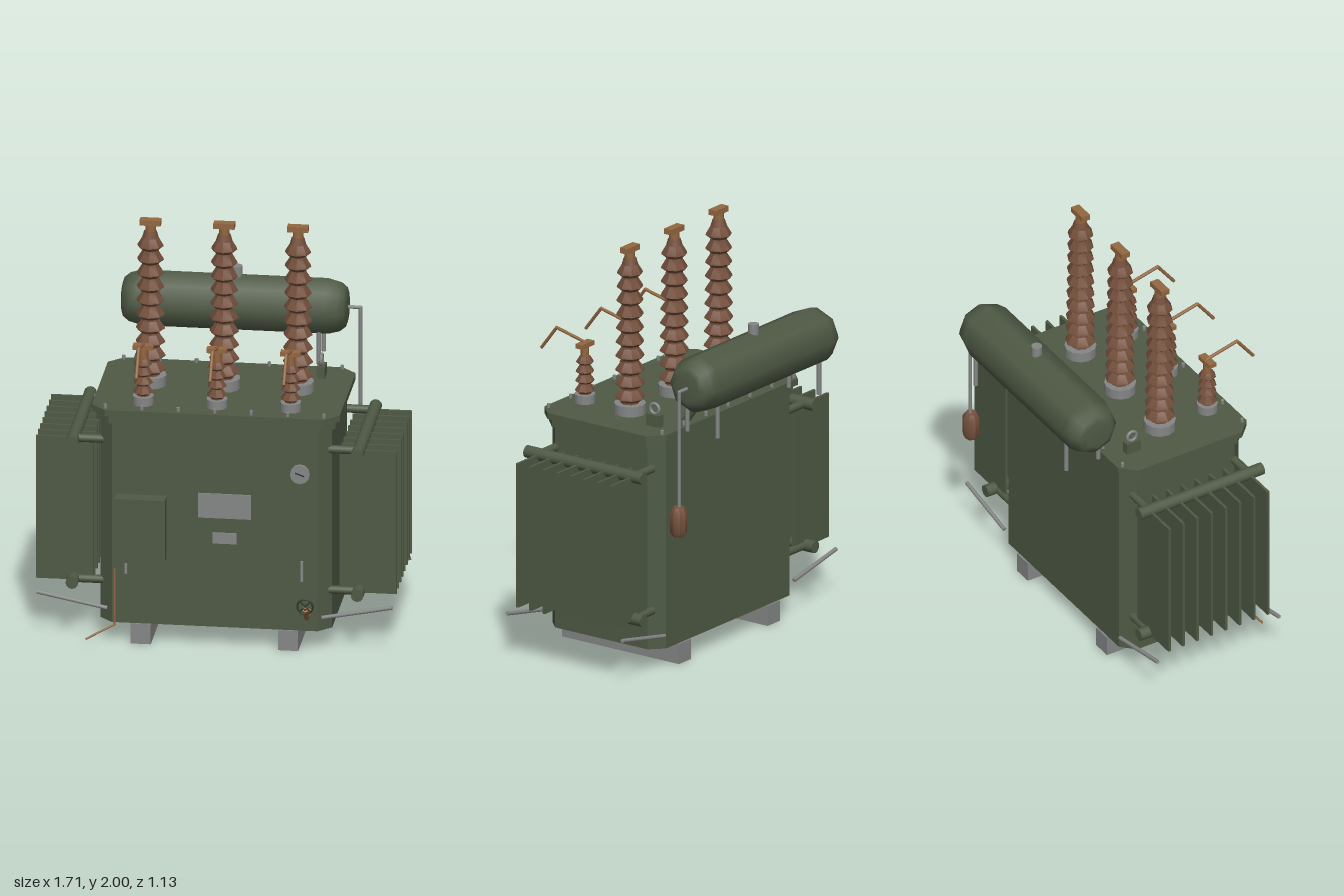
import * as THREE from 'three';
import { toCreasedNormals } from 'three/addons/utils/BufferGeometryUtils.js';

const V = (x, y, z) => new THREE.Vector3(x, y, z);

export function createModel() {
  const model = new THREE.Group();
  model.name = 'powerTransformer';
  const paint = (name, color) => {
    const m = new THREE.MeshStandardMaterial({ color });
    m.name = name;
    return m;
  };
  const green = paint('tank green', 0x4f5a45);
  const gray = paint('galvanised gray', 0x858786);
  const brown = paint('porcelain brown', 0x75503c);
  const copper = paint('copper', 0x946841);
  const dark = paint('dark iron', 0x2f362c);

  // Helpers
  const add = (name, geo, mat, x = 0, y = 0, z = 0, parent = model) => {
    const mesh = new THREE.Mesh(geo, mat);
    mesh.name = name;
    mesh.position.set(x, y, z);
    parent.add(mesh);
    return mesh;
  };
  const box = (name, mat, w, h, d, x, y, z, parent) =>
    add(name, new THREE.BoxGeometry(w, h, d), mat, x, y, z, parent);
  const rod = (name, mat, a, b, r, sides = 10, parent = model) => {
    const dir = b.clone().sub(a);
    const mid = a.clone().add(b).multiplyScalar(0.5);
    const mesh = add(name, new THREE.CylinderGeometry(r, r, dir.length(), sides), mat, mid.x, mid.y, mid.z, parent);
    mesh.quaternion.setFromUnitVectors(V(0, 1, 0), dir.normalize());
    return mesh;
  };
  const bentRod = (name, mat, points, r, sides = 8, parent = model) => {
    const path = new THREE.CurvePath();
    for (let i = 1; i < points.length; i++) {
      rod(name, mat, points[i - 1], points[i], r, sides, parent);
      if (i > 1) add(name + 'Joint', new THREE.SphereGeometry(r, sides, 6), mat, ...points[i - 1].toArray(), parent);
    }
    return path;
  };
  const lathe = (points, sides) =>
    new THREE.LatheGeometry(points.map(([r, y]) => new THREE.Vector2(r, y)), sides);

  // Prism with chamfered vertical corners
  const chamferedSlab = (name, hx, hz, c, y0, y1) => {
    const s = new THREE.Shape([
      [hx - c, -hz], [hx, c - hz], [hx, hz - c], [hx - c, hz],
      [c - hx, hz], [-hx, hz - c], [-hx, c - hz], [c - hx, -hz],
    ].map(([x, y]) => new THREE.Vector2(x, y)));
    const geo = new THREE.ExtrudeGeometry(s, { depth: y1 - y0, bevelEnabled: false });
    geo.rotateX(-Math.PI / 2);
    return add(name, geo, green, 0, y0, 0.058);
  };

  // Tank, flange and lid
  chamferedSlab('tank', 0.55, 0.333, 0.062, 0.1, 1.11);
  chamferedSlab('tankFlange', 0.567, 0.342, 0.065, 1.1, 1.142);
  chamferedSlab('lid', 0.588, 0.358, 0.07, 1.142, 1.172);
  for (let i = -3; i <= 3; i++)
    for (const z of [-0.275, 0.39])
      add('lidBolt', new THREE.CylinderGeometry(0.009, 0.009, 0.02, 6), gray, i * 0.173, 1.182, z);

  // Skids
  for (const x of [-0.35, 0.35]) box('skid', gray, 0.096, 0.1, 0.685, x, 0.05, 0.058);

  // Radiators, lifting lugs and jacking bars on both sides
  for (const s of [-1, 1]) {
    const radiator = new THREE.Group();
    radiator.name = s > 0 ? 'leftRadiator' : 'rightRadiator';
    model.add(radiator);
    for (let i = 0; i < 8; i++)
      box('fin', green, 0.272, 0.715, 0.013, s * 0.72, 0.64, -0.225 + i * 0.0786, radiator);
    for (const y of [0.29, 0.995]) {
      rod('header', green, V(s * 0.677, y, -0.285), V(s * 0.677, y, 0.4), 0.03, 12, radiator);
      for (const z of [-0.225, 0.328])
        rod('connector', green, V(s * 0.53, y, z), V(s * 0.677, y, z), 0.02, 10, radiator);
    }
    for (const z of [-0.283, 0.392])
      rod('sideBar', gray, V(s * 0.51, 0.17, z), V(s * 0.843, 0.236, z), 0.01, 8);

    box('liftingLug', green, 0.038, 0.06, 0.076, s * 0.435, 1.2, -0.17);
    const ring = add('liftingRing', new THREE.TorusGeometry(0.025, 0.008, 8, 16), gray, s * 0.435, 1.256, -0.17);
    ring.rotation.y = Math.PI / 2;
  }

  // Porcelain stack of sheds, tapering upwards
  const shedStack = (y0, y1, count, core, rBottom, rTop) => {
    const pts = [[0, y0], [core, y0]];
    const p = (y1 - y0) / count;
    for (let i = 0; i < count; i++) {
      const t = i / (count - 1);
      const r = rBottom + (rTop - rBottom) * t;
      const c = core * (1 - 0.12 * t);
      const y = y0 + i * p;
      pts.push([c, y + p * 0.12], [r, y + p * 0.38], [r * 0.97, y + p * 0.5], [c, y + p]);
    }
    pts.push([0, y1]);
    return toCreasedNormals(lathe(pts, 8), 0.5);
  };

  for (const x of [-0.35, 0, 0.35]) {
    // Tall bushing
    const tall = new THREE.Group();
    tall.name = 'tallBushing';
    tall.position.set(x, 0, 0.039);
    model.add(tall);
    add('collar', new THREE.CylinderGeometry(0.076, 0.076, 0.052, 12), gray, 0, 1.196, 0, tall);
    add('sheds', shedStack(1.222, 1.91, 10, 0.045, 0.073, 0.062), brown, 0, 0, 0, tall);
    add('neck', new THREE.CylinderGeometry(0.03, 0.04, 0.035, 8), brown, 0, 1.925, 0, tall);
    add('stud', new THREE.CylinderGeometry(0.025, 0.025, 0.045, 8), copper, 0, 1.957, 0, tall);
    box('terminal', copper, 0.1, 0.027, 0.044, 0, 1.9865, 0, tall);

    // Short bushing with bent lead
    const short = new THREE.Group();
    short.name = 'shortBushing';
    short.position.set(x, 0, 0.303);
    model.add(short);
    add('collar', new THREE.CylinderGeometry(0.05, 0.05, 0.045, 12), gray, 0, 1.192, 0, short);
    add('sheds', shedStack(1.214, 1.4, 4, 0.03, 0.048, 0.042), brown, 0, 0, 0, short);
    add('stud', new THREE.CylinderGeometry(0.02, 0.02, 0.055, 8), copper, 0, 1.425, 0, short);
    box('terminal', copper, 0.096, 0.022, 0.04, 0, 1.457, 0, short);
    bentRod('lead', copper, [V(0, 1.466, -0.01), V(0, 1.508, 0.165), V(0, 1.39, 0.255)], 0.008, 8, short);
  }

  // Conservator drum with filler cap, legs and feed pipe
  const drum = add('conservator', lathe([
    [0, -0.535], [0.07, -0.535], [0.1, -0.525], [0.125, -0.495], [0.14, -0.44],
    [0.14, 0.44], [0.125, 0.495], [0.1, 0.525], [0.07, 0.535], [0, 0.535],
  ], 8), green, -0.008, 1.43, -0.425);
  drum.rotation.z = -Math.PI / 2;
  add('fillerCap', new THREE.CylinderGeometry(0.026, 0.026, 0.06, 12), gray, 0, 1.582, -0.425);
  for (const x of [-0.4, 0.4])
    for (const z of [-0.335, -0.512]) rod('conservatorLeg', gray, V(x, 1.17, z), V(x, 1.36, z), 0.011, 8);
  bentRod('feedPipe', green, [V(0.285, 1.165, -0.235), V(0.285, 1.275, -0.315), V(0.285, 1.33, -0.4)], 0.02);

  // Breather on its down pipe
  bentRod('breatherPipe', gray, [V(0.5, 1.43, -0.425), V(0.586, 1.43, -0.425), V(0.586, 0.85, -0.425)], 0.009);
  add('breather', toCreasedNormals(lathe([
    [0, -0.072], [0.027, -0.072], [0.04, -0.05], [0.04, 0.05], [0.027, 0.072], [0, 0.072],
  ], 8), 0.5), brown, 0.586, 0.787, -0.422);

  // Control cabinet with door
  box('cabinet', green, 0.236, 0.312, 0.08, -0.346, 0.59, 0.425);
  box('cabinetDoor', green, 0.242, 0.32, 0.012, -0.346, 0.59, 0.469);

  // Plates and handles on the front
  box('largePlate', gray, 0.25, 0.122, 0.008, 0.048, 0.708, 0.394);
  box('smallPlate', gray, 0.115, 0.054, 0.008, 0.048, 0.547, 0.394);
  for (const x of [-0.42, 0.415]) box('frontStrip', gray, 0.013, 0.1, 0.014, x, 0.4, 0.397);

  // Dial gauge
  rod('gauge', gray, V(0.406, 0.888, 0.385), V(0.406, 0.888, 0.408), 0.047, 12);
  const needle = box('gaugeNeedle', dark, 0.045, 0.006, 0.004, 0.406, 0.888, 0.409);
  needle.rotation.z = -0.35;

  // Drain valve with handwheel
  bentRod('drainPipe', copper, [V(0.45, 0.2, 0.385), V(0.45, 0.2, 0.48), V(0.45, 0.262, 0.54)], 0.014);
  rod('valveStem', copper, V(0.45, 0.26, 0.535), V(0.45, 0.278, 0.55), 0.009, 8);
  add('handwheel', new THREE.TorusGeometry(0.037, 0.0045, 6, 16), dark, 0.45, 0.28, 0.549);
  for (let i = 0; i < 2; i++) {
    const spoke = box('wheelSpoke', dark, 0.074, 0.006, 0.006, 0.45, 0.28, 0.549);
    spoke.rotation.z = Math.PI / 4 + i * Math.PI / 2;
  }

  // Earthing strap
  bentRod('earthStrap', copper, [V(-0.474, 0.37, 0.4), V(-0.474, 0.092, 0.4), V(-0.605, 0.03, 0.45)], 0.005, 6);

  return model;
}
